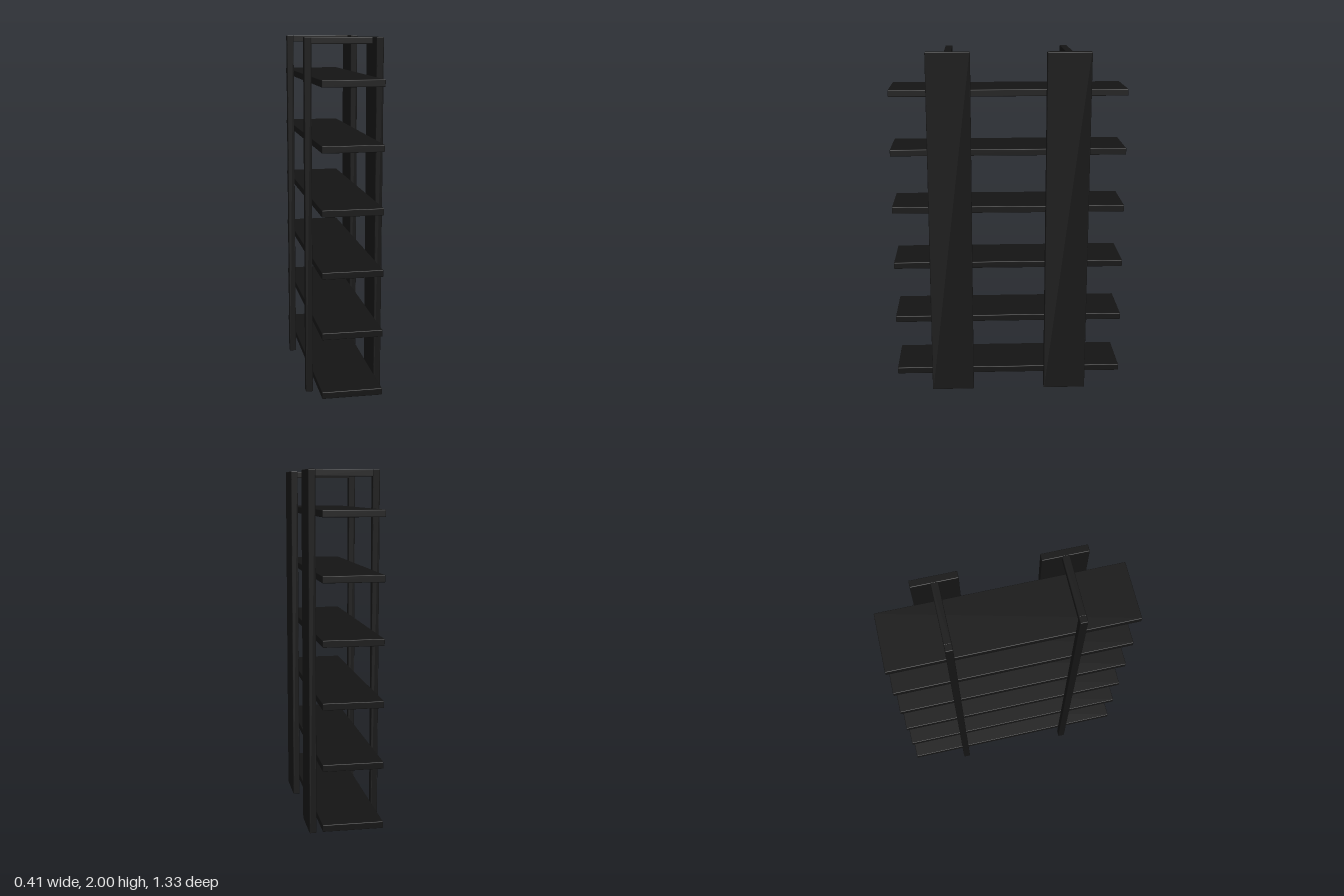
import * as THREE from 'three';
import { RoundedBoxGeometry } from 'three/addons/geometries/RoundedBoxGeometry.js';

export function createModel() {
  const model = new THREE.Group();
  model.name = 'shelfUnit';
  const black = new THREE.MeshStandardMaterial({ color: 0x141414 });

  // Board with slightly eased edges, given by its limits on each axis
  function board(name, [x0, x1], [y0, y1], [z0, z1]) {
    const geometry = new RoundedBoxGeometry(x1 - x0, y1 - y0, z1 - z0, 2, 0.004);
    const mesh = new THREE.Mesh(geometry, black);
    mesh.position.set((x0 + x1) / 2, (y0 + y1) / 2, (z0 + z1) / 2);
    mesh.name = name;
    model.add(mesh);
  }

  // Six evenly spaced shelves
  for (let i = 0; i < 6; i++) {
    const y = 0.107 + i / 3;
    board(`shelf${i + 1}`, [-0.165, 0.165], [y - 0.019, y + 0.019], [-0.665, 0.665]);
  }

  // Two frames: wide upright, slim post and the rail joining their tops
  for (const [side, z] of [['front', 0.333], ['rear', -0.333]]) {
    board(`${side}Upright`, [0.165, 0.205], [0, 2], [z - 0.123, z + 0.123]);
    board(`${side}Post`, [-0.205, -0.165], [0, 2], [z - 0.02, z + 0.02]);
    board(`${side}TopRail`, [-0.169, 0.169], [1.963, 2], [z - 0.02, z + 0.02]);
  }

  return model;
}
